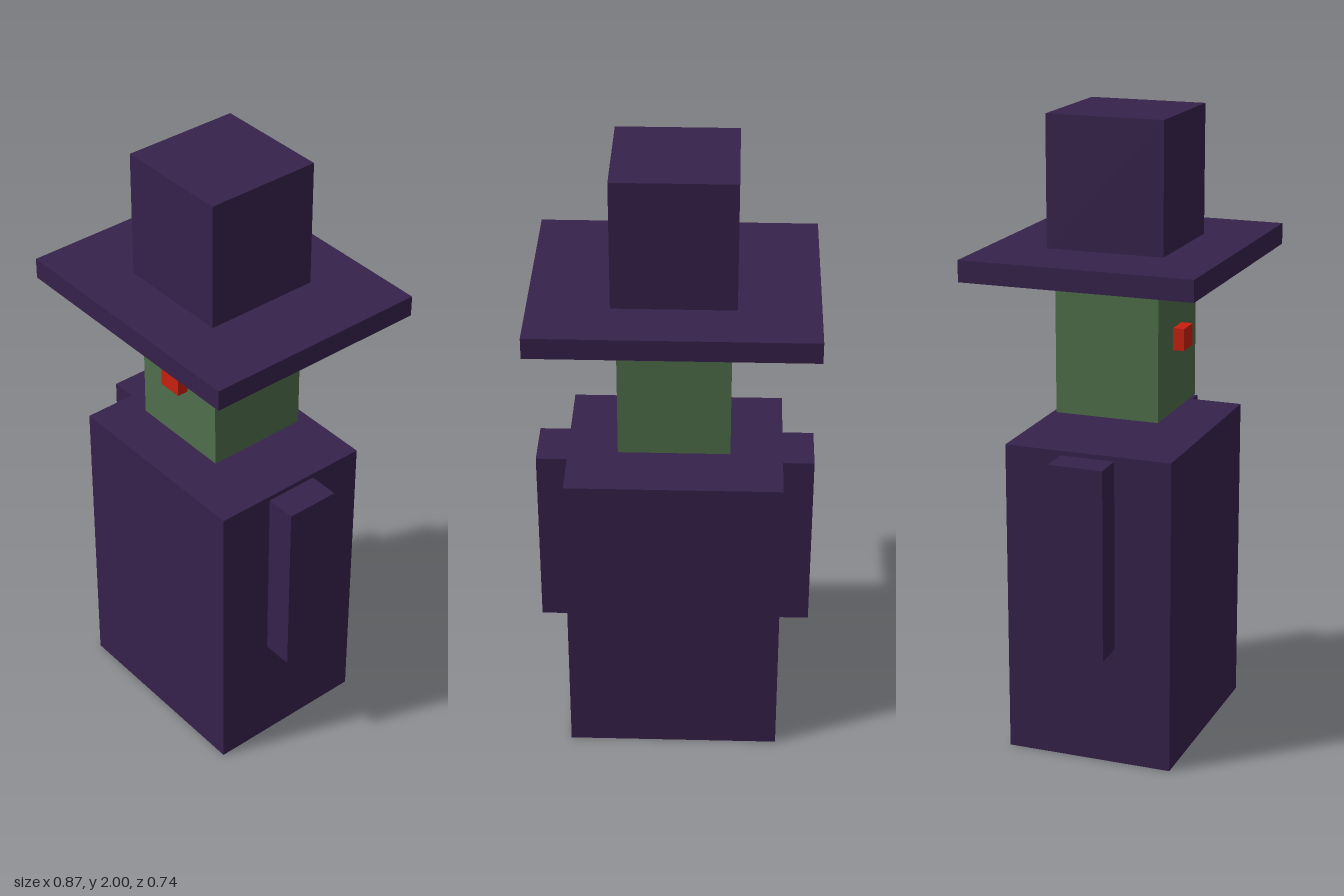
import * as THREE from 'three';

export function createModel() {
  const model = new THREE.Group();
  const material = (name, color) => {
    const m = new THREE.MeshStandardMaterial({ color });
    m.name = name;
    return m;
  };
  const purple = material('dark purple cloth', 0x36224b);
  const green = material('green skin', 0x4f704b);
  const red = material('red nose', 0xc9200f);

  // Box given by its centre x and z, bottom, top, width and depth
  const box = (name, mat, width, depth, bottom, top, x = 0, z = 0) => {
    const mesh = new THREE.Mesh(new THREE.BoxGeometry(width, top - bottom, depth), mat);
    mesh.name = name;
    mesh.position.set(x, (bottom + top) / 2, z);
    model.add(mesh);
  };

  // Robe and sleeves
  box('body', purple, 0.674, 0.538, 0, 1.005);
  for (const [name, side] of [['leftArm', 1], ['rightArm', -1]]) {
    box(name, purple, 0.1, 0.175, 0.38, 0.99, side * 0.386);
  }

  // Floating head with nose
  box('head', green, 0.346, 0.334, 1.073, 1.471);
  box('nose', red, 0.08, 0.037, 1.27, 1.34, 0, 0.1845);

  // Floating hat
  box('hatBrim', purple, 0.87, 0.738, 1.525, 1.592);
  box('hatCrown', purple, 0.375, 0.375, 1.592, 2);

  return model;
}
